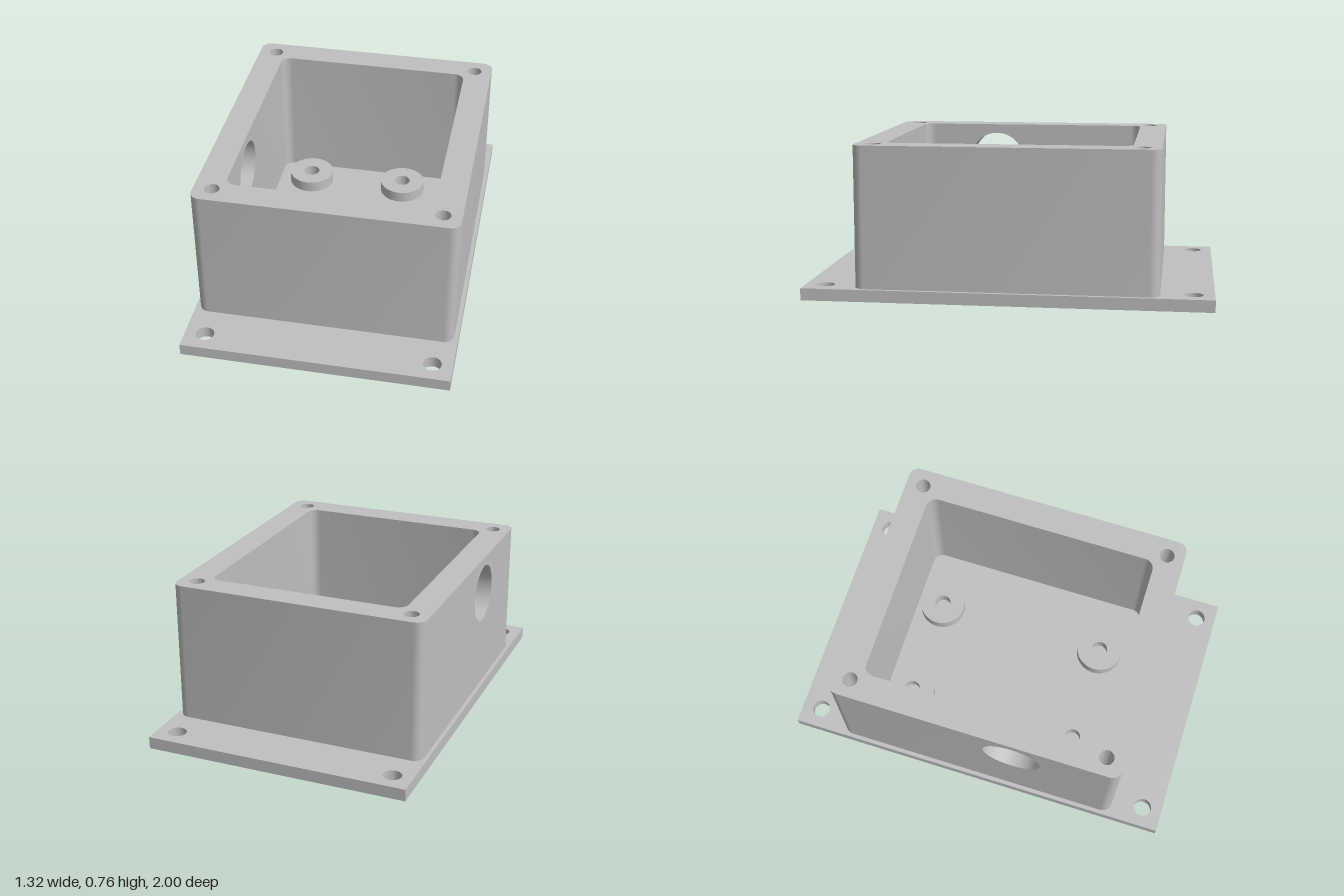
import * as THREE from 'three';
import { mergeGeometries, toCreasedNormals } from 'three/addons/utils/BufferGeometryUtils.js';

const PLATE_TOP = 0.06, RIM = 0.76;
const OUTER = { w: 0.64, d: 0.74, r: 0.05 }; // half sizes and corner radius
const INNER = { w: 0.5, d: 0.6, r: 0.05 };
const PORT = { z: 0.2, y: 0.565, r: 0.147 }; // cable opening in the -x wall
const SEG = 48;

// Rounded rectangle points, starting and ending on the -x side
function loop({ w, d, r }) {
  const pts = [];
  [[-1, -1], [1, -1], [1, 1], [-1, 1]].forEach(([sx, sz], k) => {
    for (let i = 0; i <= 8; i++) {
      const a = -Math.PI + (k + i / 8) * Math.PI / 2;
      pts.push(new THREE.Vector2(sx * (w - r) + r * Math.cos(a), sz * (d - r) + r * Math.sin(a)));
    }
  });
  return pts;
}

function circle(x, y, r) {
  return new THREE.Path().absarc(x, y, r, 0, Math.PI * 2, true);
}

function flip(geo) {
  const ix = geo.index.array;
  for (let i = 0; i < ix.length; i += 3) [ix[i], ix[i + 1]] = [ix[i + 1], ix[i]];
  return geo;
}

// Upright wall around the loop, leaving the flat -x side open
function wallStrip(size) {
  const pos = [], index = [];
  loop(size).forEach((p, i) => {
    pos.push(p.x, PLATE_TOP, p.y, p.x, RIM, p.y);
    const a = 2 * i;
    if (i > 0) index.push(a - 2, a - 1, a, a, a - 1, a + 1);
  });
  const geo = new THREE.BufferGeometry();
  geo.setAttribute('position', new THREE.Float32BufferAttribute(pos, 3));
  geo.setIndex(index);
  return geo;
}

// Flat -x side with the round opening
function portPanel({ w, d, r }) {
  const e = d - r;
  const shape = new THREE.Shape([[-e, PLATE_TOP], [e, PLATE_TOP], [e, RIM], [-e, RIM]]
    .map(([u, v]) => new THREE.Vector2(u, v)));
  shape.holes.push(circle(PORT.z, PORT.y, PORT.r));
  return new THREE.ShapeGeometry(shape, SEG).rotateY(-Math.PI / 2).translate(-w, 0, 0);
}

// Inward-facing tube
function bore(r, length) {
  return flip(new THREE.CylinderGeometry(r, r, length, SEG, 1, true));
}

function smooth(geos) {
  const plain = geos.map((g) => {
    const n = g.index ? g.toNonIndexed() : g;
    n.deleteAttribute('uv');
    n.deleteAttribute('normal');
    return n;
  });
  return toCreasedNormals(mergeGeometries(plain), 0.6);
}

export function createModel() {
  const model = new THREE.Group();
  model.name = 'enclosure';
  const grey = new THREE.MeshStandardMaterial({ color: 0xbfbfbf });
  grey.name = 'grey';
  const add = (name, geos, parent = model) => {
    const mesh = new THREE.Mesh(smooth(geos), grey);
    mesh.name = name;
    parent.add(mesh);
    return mesh;
  };
  const corners = [[-1, -1], [1, -1], [1, 1], [-1, 1]];

  // Mounting plate with four through holes
  const plate = new THREE.Shape(corners.map(([x, z]) => new THREE.Vector2(x * 0.66, z)));
  corners.forEach(([x, z]) => plate.holes.push(circle(x * 0.56, z * 0.9, 0.045)));
  add('mountingPlate', [new THREE.ExtrudeGeometry(plate, {
    depth: PLATE_TOP, bevelEnabled: false, curveSegments: SEG,
  }).rotateX(-Math.PI / 2)]);

  // Open box: rim, outer and inner walls, cable port and lid screw holes
  const rim = new THREE.Shape(loop(OUTER));
  rim.holes.push(new THREE.Path(loop(INNER)));
  const screwBores = corners.map(([x, z]) => {
    rim.holes.push(circle(x * 0.55, z * 0.65, 0.037));
    return bore(0.037, RIM - PLATE_TOP).translate(x * 0.55, (RIM + PLATE_TOP) / 2, z * 0.65);
  });
  add('boxWalls', [
    new THREE.ShapeGeometry(rim, SEG).rotateX(-Math.PI / 2).translate(0, RIM, 0),
    wallStrip(OUTER), portPanel(OUTER),
    flip(wallStrip(INNER)), flip(portPanel(INNER)),
    bore(PORT.r, OUTER.w - INNER.w).rotateZ(Math.PI / 2)
      .translate(-(OUTER.w + INNER.w) / 2, PORT.y, PORT.z),
    ...screwBores,
  ]);

  // Board standoffs on the floor
  const standoffs = new THREE.Group();
  standoffs.name = 'standoffs';
  model.add(standoffs);
  const profile = [[0.12, PLATE_TOP], [0.12, 0.12], [0.042, 0.12], [0.042, PLATE_TOP]]
    .map(([r, y]) => new THREE.Vector2(r, y));
  for (const x of [-0.32, 0.2]) for (const z of [-0.46, 0.44]) {
    add('standoff', [new THREE.LatheGeometry(profile, SEG)], standoffs).position.set(x, 0, z);
  }
  return model;
}
